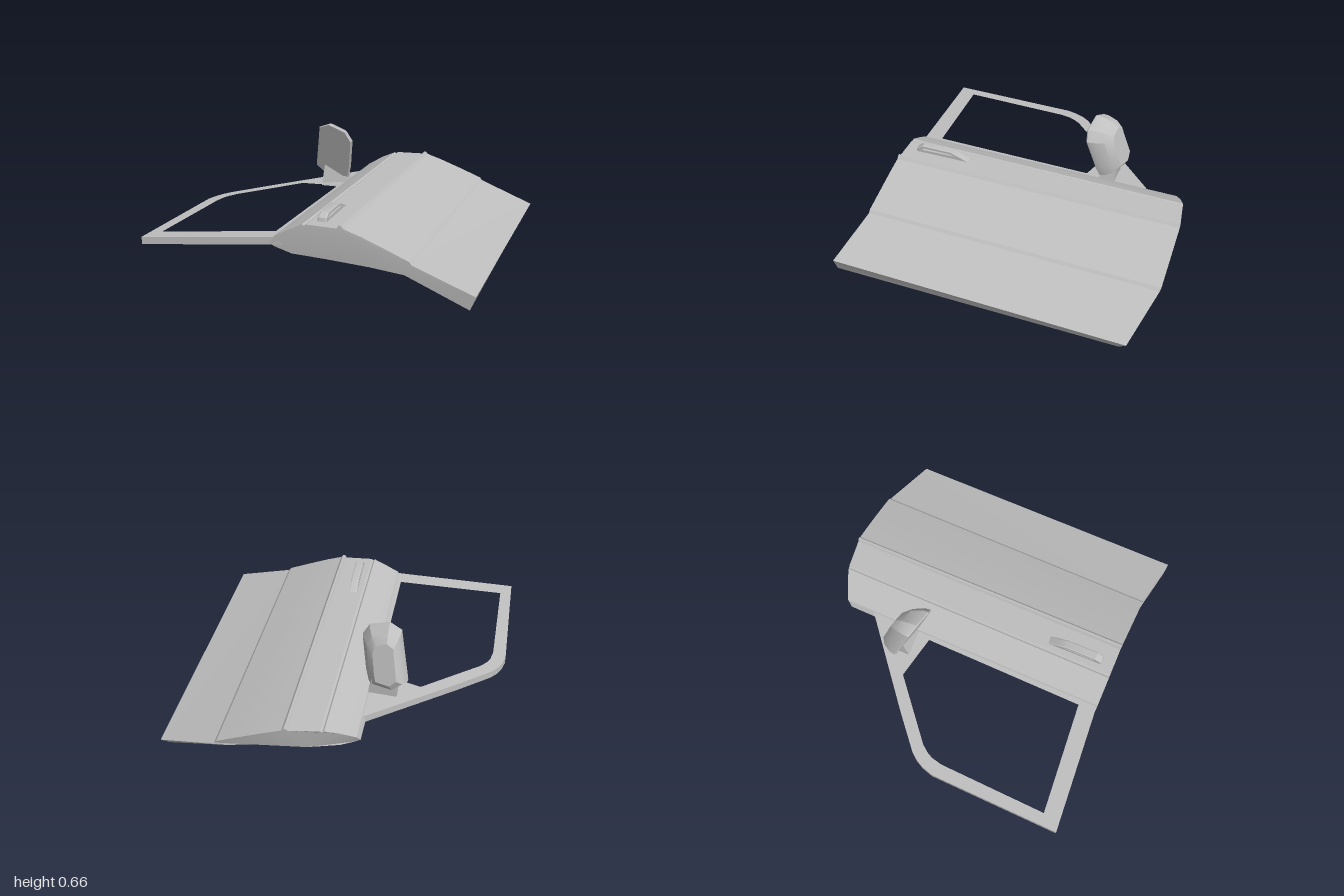
import * as THREE from 'three';
import { toCreasedNormals } from 'three/addons/utils/BufferGeometryUtils.js';

const paint = new THREE.MeshStandardMaterial({ color: 0xbfbfbf });
paint.name = 'grey paint';

// Closed solid through rings of [x, y, z] points, capped at both ends
function loft(rings, crease = 0.3) {
  const n = rings[0].length, index = [];
  for (let r = 0; r < rings.length - 1; r++) {
    for (let i = 0; i < n; i++) {
      const a = r * n + i, b = r * n + (i + 1) % n;
      index.push(a, b, b + n, a, b + n, a + n);
    }
  }
  const cap = (ring, base, outward) => {
    const flat = ring.map(p => new THREE.Vector2(p[0], p[1]));
    const ccw = !THREE.ShapeUtils.isClockWise(flat);
    for (const [a, b, c] of THREE.ShapeUtils.triangulateShape(flat, [])) {
      const area = (flat[b].x - flat[a].x) * (flat[c].y - flat[a].y) - (flat[c].x - flat[a].x) * (flat[b].y - flat[a].y);
      // the start cap runs against the loop direction, the end cap along it
      if ((area > 0) === (ccw === outward)) index.push(base + a, base + b, base + c);
      else index.push(base + a, base + c, base + b);
    }
  };
  cap(rings[0], 0, false);
  cap(rings[rings.length - 1], (rings.length - 1) * n, true);

  // Turn the solid outward if its signed volume is negative
  const pts = rings.flat().map(p => new THREE.Vector3(...p));
  let volume = 0;
  for (let i = 0; i < index.length; i += 3) {
    volume += pts[index[i]].dot(pts[index[i + 1]].clone().cross(pts[index[i + 2]]));
  }
  if (volume < 0) index.reverse();
  const g = new THREE.BufferGeometry().setFromPoints(pts);
  g.setIndex(index);
  return toCreasedNormals(g, crease);
}

function add(group, name, geometry) {
  const mesh = new THREE.Mesh(geometry, paint);
  mesh.name = name;
  group.add(mesh);
}

const vectors = list => list.map(([x, y]) => new THREE.Vector2(x, y));

// Outer skin, moulding strip and flat inner side as one lofted section
function doorPanel() {
  const front = [
    [-0.23, 0.255, 0.87], [-0.2, 0.3, 0.87], [-0.11, 0.348, 0.87], [-0.035, 0.385, 0.87],
    [-0.025, 0.377, 0.87], [-0.012, 0.386, 0.87], [0.165, 0.382, 0.87], [0.175, 0.4, 0.87],
    [0.19, 0.4, 0.87], [0.205, 0.382, 0.87], [0.3, 0.352, 0.874], [0.42, 0.307, 0.88],
    [0.575, 0.245, 0.89], [0.59, 0.228, 0.89], [0.95, 0.12, 0.955],
    [0.92, 0.04, 0.95], [0.55, 0.165, 0.885], [0.35, 0.18, 0.87], [0.1, 0.195, 0.865],
    [-0.1, 0.205, 0.865], [-0.2, 0.235, 0.865],
  ];
  const back = [
    [-0.19, 0.205, -0.83], [-0.17, 0.245, -0.86], [-0.08, 0.295, -0.9], [0.0, 0.326, -0.93],
    [0.01, 0.319, -0.932], [0.022, 0.328, -0.934], [0.2, 0.326, -0.957], [0.21, 0.34, -0.96],
    [0.222, 0.34, -0.96], [0.235, 0.325, -0.96], [0.33, 0.295, -0.958], [0.46, 0.248, -0.955],
    [0.62, 0.187, -0.95], [0.635, 0.17, -0.945], [0.995, 0.06, -0.85],
    [0.96, 0.002, -0.8], [0.58, 0.12, -0.9], [0.37, 0.172, -0.92], [0.1, 0.188, -0.92],
    [-0.08, 0.194, -0.88], [-0.165, 0.198, -0.84],
  ];
  return loft([front, back]);
}

// Window surround: a flat ring, then sheared to the tilt of the door
function windowFrame() {
  const outer = [[-1, 0.925], [-0.98, 0.1], [-0.96, 0.03], [-0.935, -0.02], [-0.895, -0.07], [-0.7, -0.24],
    [-0.17, -0.68], [-0.14, -0.68], [-0.14, 0.866], [-0.23, 0.868]];
  const inner = [[-0.925, 0.815], [-0.9, 0.13], [-0.885, 0.06], [-0.865, 0.02], [-0.83, -0.025],
    [-0.48, -0.325], [-0.21, -0.265], [-0.235, 0.76]];
  const flip = list => vectors(list.map(([x, z]) => [x, -z]));
  const shape = new THREE.Shape(flip(outer));
  shape.holes.push(new THREE.Path(flip(inner)));
  const g = new THREE.ExtrudeGeometry(shape, { depth: 0.045, bevelEnabled: false });
  g.rotateX(-Math.PI / 2);
  const p = g.attributes.position;
  for (let i = 0; i < p.count; i++) {
    p.setY(i, p.getY(i) + 0.178 + 0.0875 * (p.getX(i) + 1) + 0.033 * (p.getZ(i) - 0.92));
  }
  return toCreasedNormals(g, 0.4);
}

// Mirror housing: one outline stepped back from the tilted glass plane
function mirrorHousing() {
  const outline = [[-0.41, 0.34], [-0.355, 0.63], [-0.28, 0.66], [-0.16, 0.62], [-0.12, 0.555],
    [-0.15, 0.36], [-0.17, 0.29], [-0.33, 0.28]];
  const ring = (offset, sx, sy) => outline.map(([x, y]) => {
    const px = -0.28 + (x + 0.28) * sx, py = 0.48 + (y - 0.48) * sy;
    return [px, py, -0.275 + 0.25 * (px + 0.12) + 0.25 * (py - 0.55) - offset];
  });
  return loft([ring(0, 0.96, 0.97), ring(0.008, 1, 1), ring(0.04, 0.98, 0.98),
    ring(0.1, 0.78, 0.86), ring(0.135, 0.52, 0.66)], 0.5);
}

// Tapered foot joining mirror and frame
function mirrorFoot() {
  const section = (y, x0, x1, z0, z1) => [[x0, y, z0], [x1, y, z0], [x1, y, z1], [x0, y, z1]];
  const rings = [section(0.22, -0.35, -0.17, -0.45, -0.34), section(0.36, -0.34, -0.2, -0.46, -0.38)];
  // loft along z by swapping the rings into front and back faces
  const face = k => [rings[0][k[0]], rings[0][k[1]], rings[1][k[1]], rings[1][k[0]]];
  return loft([face([0, 1]), face([3, 2])]);
}

// Pull handle: side profile with a finger slot
function handle() {
  const shape = new THREE.Shape(vectors([[-0.8, 0.37], [-0.79, 0.405], [-0.75, 0.428], [-0.56, 0.422],
    [-0.5, 0.4], [-0.44, 0.37]]));
  shape.holes.push(new THREE.Path(vectors([[-0.76, 0.395], [-0.74, 0.414], [-0.57, 0.409], [-0.53, 0.392]])));
  const g = new THREE.ExtrudeGeometry(shape, { depth: 0.036, bevelEnabled: true, bevelSize: 0.004,
    bevelThickness: 0.008, bevelSegments: 1, bevelOffset: -0.004 });
  g.rotateY(Math.PI / 2); // profile length now runs along z
  g.translate(0.036, 0, 0);
  return toCreasedNormals(g, 0.4);
}

export function createModel() {
  const door = new THREE.Group();
  door.name = 'vehicleDoor';
  add(door, 'doorPanel', doorPanel());
  add(door, 'windowFrame', windowFrame());
  add(door, 'handle', handle());

  const mirror = new THREE.Group();
  mirror.name = 'sideMirror';
  add(mirror, 'mirrorHousing', mirrorHousing());
  add(mirror, 'mirrorFoot', mirrorFoot());
  door.add(mirror);
  return door;
}
